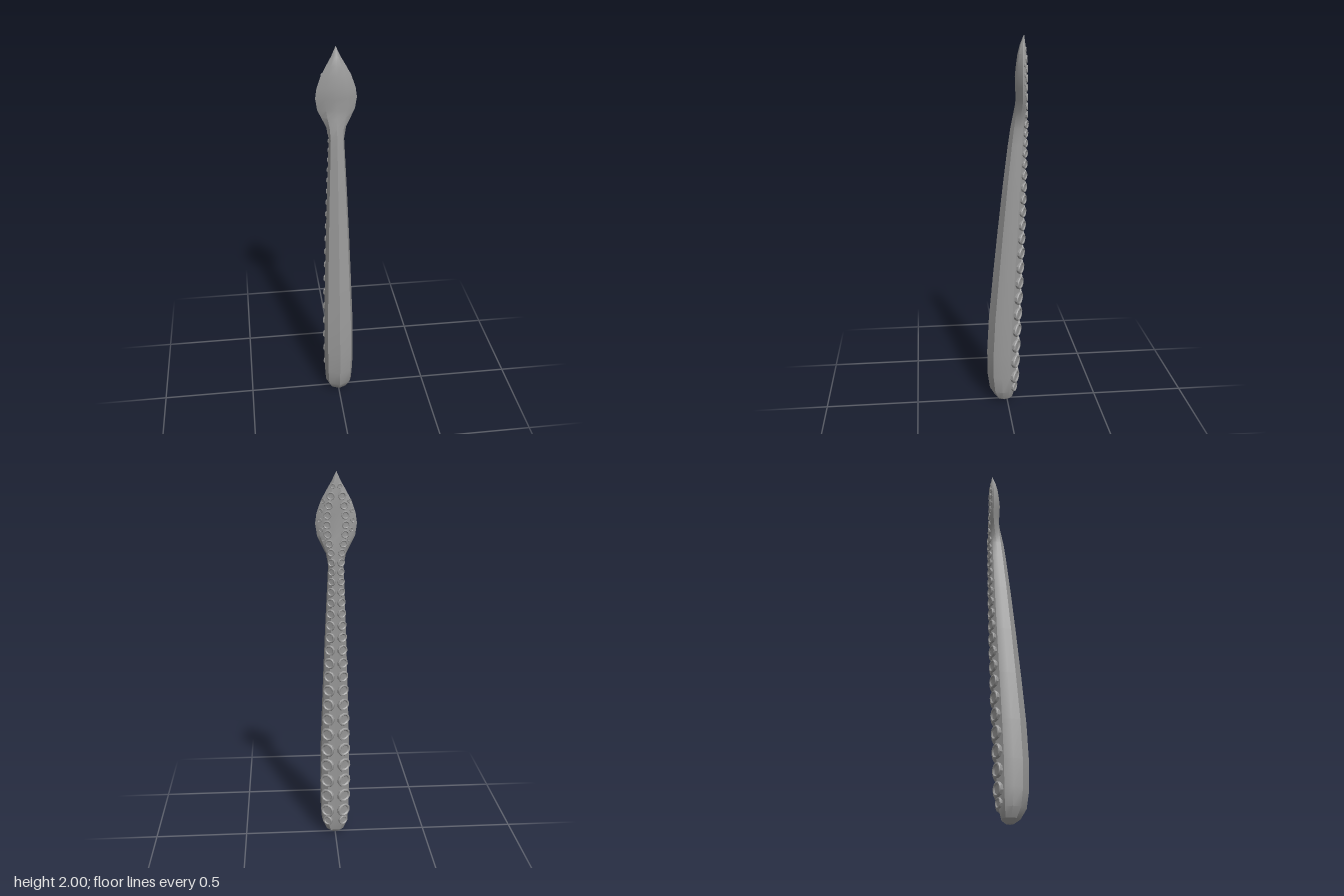
import * as THREE from 'three';
import { toCreasedNormals } from 'three/addons/utils/BufferGeometryUtils.js';

// stations along the arm: y, half width, front z, back z, leaf blend (0 arm, 1 flat club)
const STATIONS = [
  [0, 0.02, 0.035, -0.005, 0], [0.02, 0.05, 0.065, -0.03, 0], [0.07, 0.073, 0.095, -0.045, 0],
  [0.16, 0.079, 0.108, -0.053, 0], [0.3, 0.081, 0.109, -0.057, 0], [0.5, 0.079, 0.098, -0.066, 0],
  [0.75, 0.071, 0.074, -0.077, 0], [1.0, 0.062, 0.048, -0.087, 0], [1.25, 0.052, 0.02, -0.095, 0],
  [1.45, 0.043, -0.005, -0.1, 0], [1.54, 0.039, -0.018, -0.102, 0], [1.6, 0.05, -0.03, -0.102, 0.4],
  [1.65, 0.075, -0.04, -0.1, 0.8], [1.69, 0.094, -0.045, -0.098, 1], [1.75, 0.103, -0.041, -0.096, 1],
  [1.8, 0.096, -0.04, -0.097, 1], [1.86, 0.075, -0.046, -0.097, 1], [1.91, 0.048, -0.053, -0.095, 1],
  [1.955, 0.022, -0.065, -0.091, 1], [2, 0.001, -0.084, -0.086, 1],
];
// half sections from front ridge to back groove: fraction of width, fraction of depth
const ARM = [[0, 0], [0.8, 0.18], [1, 0.46], [0.93, 0.73], [0.52, 0.96], [0, 0.93]];
const CLUB = [[0, 0], [0.55, 0.12], [1, 0.5], [0.85, 0.74], [0.45, 1], [0, 0.93]];

const lerp = THREE.MathUtils.lerp;

function halfSection([, w, front, back, leaf]) {
  return ARM.map((p, i) => [
    lerp(p[0], CLUB[i][0], leaf) * w,
    lerp(front, back, lerp(p[1], CLUB[i][1], leaf)),
  ]);
}

function stationAt(y) {
  let i = 0;
  while (i < STATIONS.length - 2 && STATIONS[i + 1][0] < y) i++;
  const a = STATIONS[i], b = STATIONS[i + 1];
  const t = (y - a[0]) / (b[0] - a[0]);
  return a.map((v, k) => lerp(v, b[k], t));
}

// skin through mirrored sections, closed at both ends
function bodyGeometry() {
  const pos = [], idx = [];
  const n = 10;
  for (const s of STATIONS) {
    const half = halfSection(s);
    const mirror = half.slice(1, -1).reverse().map(([x, z]) => [-x, z]);
    for (const [x, z] of [...half, ...mirror]) pos.push(x, s[0], z);
  }
  for (let r = 0; r < STATIONS.length - 1; r++) {
    for (let j = 0; j < n; j++) {
      const a = r * n + j, b = r * n + (j + 1) % n;
      idx.push(a, b, b + n, a, b + n, a + n);
    }
  }
  const top = (STATIONS.length - 1) * n;
  for (let j = 1; j < n - 1; j++) {
    idx.push(0, j + 1, j);
    idx.push(top, top + j, top + j + 1);
  }
  const g = new THREE.BufferGeometry();
  g.setAttribute('position', new THREE.Float32BufferAttribute(pos, 3));
  g.setIndex(idx);
  return toCreasedNormals(g, 0.5);
}

export function createModel() {
  const group = new THREE.Group();
  group.name = 'tentacle';
  const skin = new THREE.MeshStandardMaterial({ color: 0x999999 });
  skin.name = 'grey skin';

  const body = new THREE.Mesh(bodyGeometry(), skin);
  body.name = 'arm';
  group.add(body);

  // shallow cup of unit radius, opening along +y
  const profile = [[0.9, -0.35], [1, 0.05], [0.92, 0.2], [0.76, 0.22], [0.6, 0.06], [0, 0.02]];
  const cup = toCreasedNormals(
    new THREE.LatheGeometry(profile.map(([x, y]) => new THREE.Vector2(x, y)), 10), 0.6);
  const up = new THREE.Vector3(0, 1, 0);

  const addPair = (name, y, r, x, z, nx, nz) => {
    for (const side of [1, -1]) {
      const m = new THREE.Mesh(cup, skin);
      m.name = name;
      m.position.set(side * x, y, z);
      m.quaternion.setFromUnitVectors(up, new THREE.Vector3(side * nx, -0.03, nz).normalize());
      m.scale.setScalar(r);
      group.add(m);
    }
  };

  // two columns of suckers, shrinking up the arm
  let y = 0.09;
  while (y < 1.58) {
    const s = stationAt(y);
    const p = halfSection(s)[4];
    const r = 0.5 * s[1] * (y < 0.12 ? 0.75 : 1);
    addPair('armSucker', y, r, p[0] * 1.1, p[1] + r * 0.06, 0.5, -0.86);
    y += r * 2.35;
  }

  // suckers on the back of the club
  for (y = 1.61; y < 1.95;) {
    const s = stationAt(y);
    const r = Math.min(0.021, s[1] * 0.36);
    const p = halfSection(s)[4];
    addPair('clubSucker', y, r, p[0], p[1] + r * 0.05, 0.2, -0.98);
    if (y > 1.64 && y < 1.86) {
      const q = halfSection(s)[3];
      addPair('smallClubSucker', y + r, r * 0.55, q[0] * 0.92, q[1] - 0.003, 0.5, -0.86);
    }
    y += r * 2.2;
  }
  return group;
}
